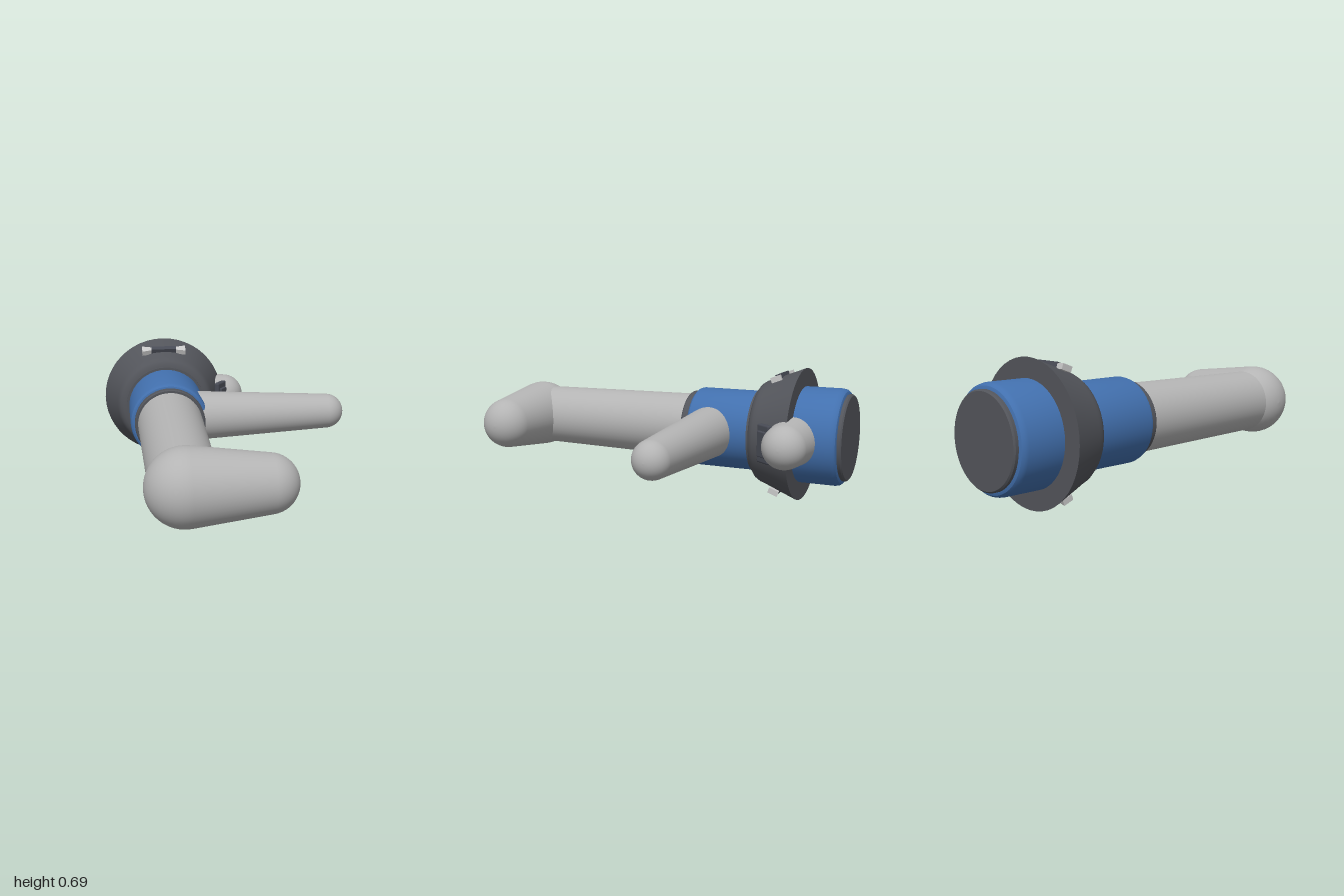
import * as THREE from 'three';
import { toCreasedNormals } from 'three/addons/utils/BufferGeometryUtils.js';
import { RoundedBoxGeometry } from 'three/addons/geometries/RoundedBoxGeometry.js';

const AX = -0.317, AY = 0.345; // main axis, running along z

export function createModel() {
  const mat = (name, color) => Object.assign(new THREE.MeshStandardMaterial({ color }), { name });
  const grey = mat('light grey', 0xb4b4b4);
  const blue = mat('blue', 0x4270ae);
  const dark = mat('dark grey', 0x53555b);
  const steel = mat('dark steel', 0x484b55);
  const pale = mat('pale grey', 0xc8c8c8);

  const model = new THREE.Group();
  model.name = 'pipeFitting';
  const add = (name, geo, material, x = 0, y = 0, z = 0, parent = model) => {
    const m = new THREE.Mesh(geo, material);
    m.name = name;
    m.position.set(x, y, z);
    parent.add(m);
    return m;
  };
  const lathe = (pts) => new THREE.LatheGeometry(pts.map(([r, h]) => new THREE.Vector2(r, h)), 48);

  // Turned part on the main axis; points are [radius, z] from back to front
  const turned = (name, material, pts) =>
    add(name, toCreasedNormals(lathe(pts).rotateX(Math.PI / 2), 0.5), material, AX, AY, 0);

  // Tapered limb with round ends, pointing along +x
  const limb = (name, r1, r2, length, z) => {
    const a = Math.asin((r1 - r2) / length), pts = [], n = 12;
    for (let i = 0; i <= n; i++) {
      const t = -Math.PI / 2 + (a + Math.PI / 2) * i / n;
      pts.push([Math.max(0, r1 * Math.cos(t)), r1 * Math.sin(t)]);
    }
    for (let i = 0; i <= n; i++) {
      const t = a + (Math.PI / 2 - a) * i / n;
      pts.push([Math.max(0, r2 * Math.cos(t)), length + r2 * Math.sin(t)]);
    }
    add(name, lathe(pts).rotateZ(-Math.PI / 2), grey, AX, AY, z);
  };

  // Body along the axis
  turned('backCap', dark, [[0, -1], [0.215, -1], [0.222, -0.993], [0.222, -0.97], [0, -0.97]]);
  turned('backBarrel', blue, [[0, -0.978], [0.222, -0.978], [0.236, -0.973], [0.245, -0.962],
    [0.249, -0.945], [0.249, -0.74], [0, -0.74]]);
  turned('flaredCollar', dark, [[0, -0.756], [0.343, -0.756], [0.274, -0.58], [0.268, -0.56],
    [0.256, -0.541], [0.24, -0.53], [0.223, -0.526], [0.223, -0.514], [0, -0.514]]);
  turned('frontBarrel', blue, [[0, -0.53], [0.21, -0.53], [0.21, -0.2], [0.206, -0.186],
    [0.197, -0.177], [0.186, -0.174], [0, -0.174]]);
  turned('frontRing', dark, [[0, -0.18], [0.188, -0.18], [0.188, -0.145], [0.183, -0.138], [0, -0.138]]);
  turned('mainPipe', grey, [[0, -0.15], [0.172, -0.15], [0.159, 0.815], [0, 0.815]]);

  // Side limbs
  limb('elbowSpout', 0.182, 0.136, 0.367, 0.815);
  limb('sideArm', 0.142, 0.095, 0.877, -0.293);
  limb('sideKnob', 0.142, 0.112, 0.357, -0.757);

  // Clips above and below the collar, lying on its slope
  const wedge = new THREE.BoxGeometry(0.055, 0.028, 0.055);
  const p = wedge.attributes.position;
  for (let i = 0; i < p.count; i++) if (p.getX(i) < 0) p.setZ(i, p.getZ(i) * 0.55);
  wedge.computeVertexNormals();
  for (const s of [1, -1]) {
    const clip = new THREE.Group();
    clip.name = s > 0 ? 'upperClip' : 'lowerClip';
    clip.position.set(AX, AY + s * 0.295, -0.636);
    clip.rotation.set(0.36, 0, 0);
    if (s < 0) clip.rotation.set(-0.36, 0, Math.PI);
    add('clipBar', new THREE.BoxGeometry(0.14, 0.03, 0.032), steel, 0, 0.004, 0, clip);
    add('clipEnd', wedge, pale, 0.096, 0, 0, clip);
    add('clipEnd', wedge, pale, -0.096, 0, 0, clip).rotation.y = Math.PI;
    model.add(clip);
  }

  // Latch on the left of the collar
  const latch = new THREE.Group();
  latch.name = 'sideLatch';
  latch.position.set(0.013, AY, -0.645);
  latch.rotation.y = -0.63;
  add('latchPlate', new RoundedBoxGeometry(0.03, 0.195, 0.093, 2, 0.01), steel, -0.004, 0, 0, latch);
  add('latchPad', new RoundedBoxGeometry(0.02, 0.13, 0.06, 2, 0.006), steel, 0.013, 0, 0, latch);
  model.add(latch);

  return model;
}
